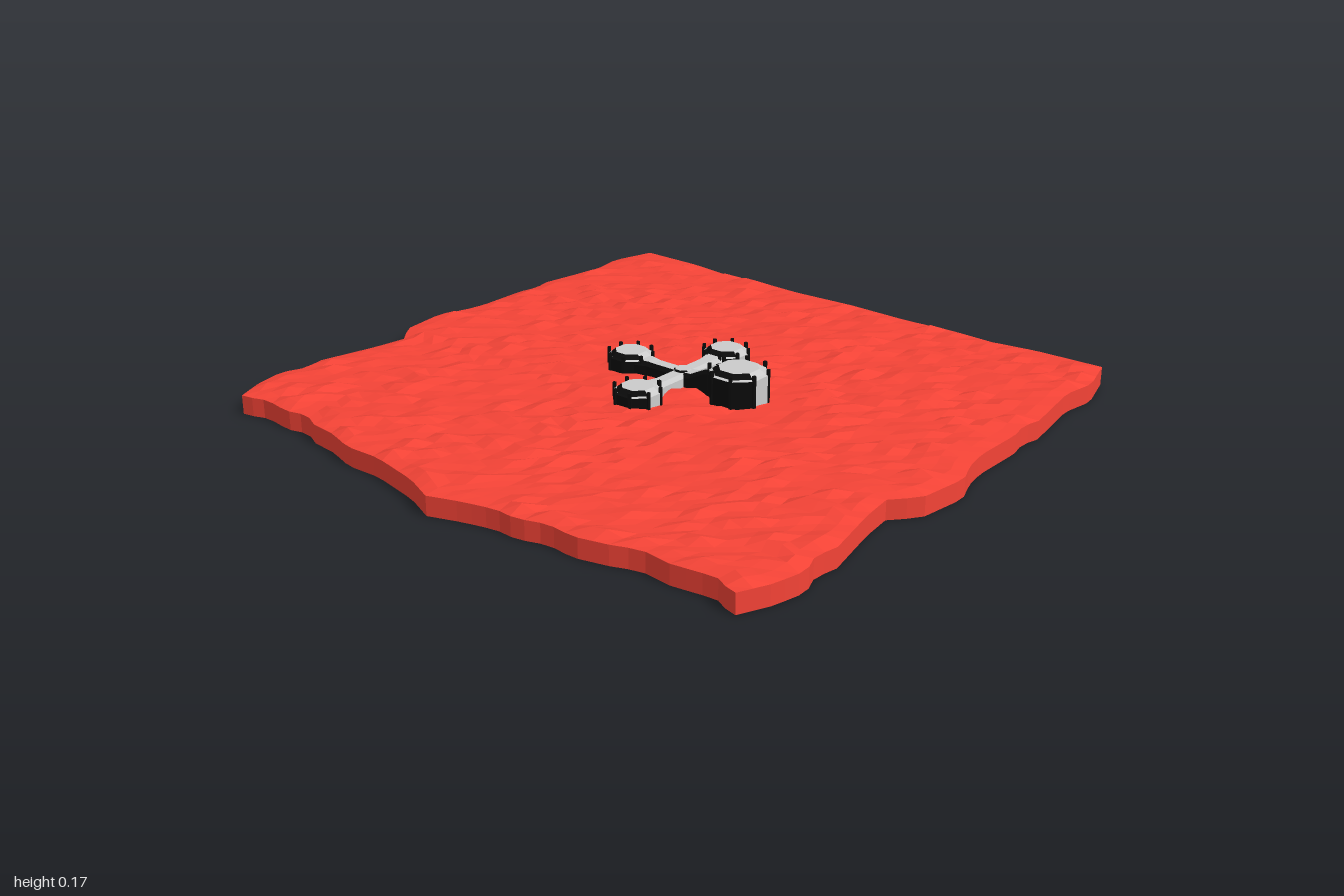
import * as THREE from 'three';

const grey = new THREE.MeshStandardMaterial({ color: 0xcccccc, flatShading: true });
const dark = new THREE.MeshStandardMaterial({ color: 0x0b0b0b, flatShading: true });
const red = new THREE.MeshStandardMaterial({ color: 0xf44336, flatShading: true });

// Ragged outline: [distance along the edge, position of the edge]
const sideEdge = [[-0.97, 0.91], [-0.82, 0.95], [-0.7, 0.93], [-0.6, 0.945], [-0.46, 0.965], [-0.41, 0.947],
  [-0.34, 0.962], [-0.16, 0.957], [-0.08, 0.97], [0, 1], [0.17, 0.975], [0.23, 0.912], [0.34, 0.925],
  [0.53, 0.965], [0.6, 0.95], [0.67, 0.977], [0.77, 0.955], [0.87, 0.91]];
const frontEdge = [[-1, 0.86], [-0.91, 0.86], [-0.83, 0.835], [-0.73, 0.85], [-0.65, 0.83], [-0.6, 0.86], [-0.5, 0.87],
  [-0.4, 0.9], [-0.28, 0.895], [-0.2, 0.91], [-0.1, 0.93], [0, 0.97], [0.1, 0.935], [0.2, 0.91], [0.27, 0.915],
  [0.36, 0.885], [0.45, 0.895], [0.55, 0.87], [0.62, 0.84], [0.72, 0.85], [0.84, 0.83], [0.91, 0.86], [1, 0.86]];
const backEdge = [[-1, -0.97], [-0.7, -0.965], [-0.55, -0.945], [-0.4, -0.955], [-0.23, -0.945], [0, -0.955],
  [0.23, -0.945], [0.4, -0.955], [0.55, -0.945], [0.7, -0.965], [1, -0.97]];

function sample(table, t) {
  if (t <= table[0][0]) return table[0][1];
  for (let i = 1; i < table.length; i++) {
    const [a, p] = table[i - 1], [b, q] = table[i];
    if (t <= b) return p + (q - p) * (t - a) / (b - a);
  }
  return table[table.length - 1][1];
}

function seeded(seed) {
  return () => {
    seed = (seed * 16807) % 2147483647;
    return seed / 2147483647;
  };
}

// Ground slab: gently broken top, flat bottom, upright rim
function createGround() {
  const n = 44, rand = seeded(77), pos = [], index = [];
  for (let layer = 0; layer < 2; layer++) {
    for (let j = 0; j <= n; j++) {
      for (let i = 0; i <= n; i++) {
        const u = i / n * 2 - 1, v = j / n;
        const x0 = u * 0.93;
        const back = sample(backEdge, x0), front = sample(frontEdge, x0);
        const z = back + (front - back) * v;
        const x = u * sample(sideEdge, z);
        const rim = i === 0 || j === 0 || i === n || j === n;
        const bump = rim ? 0 : 0.004 + 0.016 * rand() ** 2.5;
        pos.push(x, layer ? 0 : 0.058 + bump, z);
      }
    }
  }
  const w = n + 1, base = w * w;
  for (let j = 0; j < n; j++) {
    for (let i = 0; i < n; i++) {
      const a = j * w + i, b = a + 1, c = a + w, d = c + 1;
      index.push(a, c, b, b, c, d);
      index.push(base + a, base + b, base + c, base + b, base + d, base + c);
    }
  }
  const wall = (a, b) => index.push(a, a + base, b, b, a + base, b + base);
  for (let k = 0; k < n; k++) {
    wall(k + 1, k);
    wall(n * w + k, n * w + k + 1);
    wall(k * w, (k + 1) * w);
    wall((k + 1) * w + n, k * w + n);
  }
  const geo = new THREE.BufferGeometry();
  geo.setAttribute('position', new THREE.Float32BufferAttribute(pos, 3));
  geo.setIndex(index);
  const flat = geo.toNonIndexed();
  flat.computeVertexNormals();
  const mesh = new THREE.Mesh(flat, red);
  mesh.name = 'ground';
  return mesh;
}

// Light shell whose front-facing panels are dark
function panelled(geometry, name) {
  const geo = geometry.index ? geometry.toNonIndexed() : geometry;
  geo.computeVertexNormals();
  geo.clearGroups();
  const normal = geo.attributes.normal;
  for (let i = 0; i < normal.count; i += 3) geo.addGroup(i, 3, normal.getZ(i) > 0.3 ? 1 : 0);
  const mesh = new THREE.Mesh(geo, [grey, dark]);
  mesh.name = name;
  return mesh;
}

// Octagonal room with a bevelled roof and a post on every corner
function createRoom(name, x, z, apothem, top, posts = true) {
  const group = new THREE.Group();
  group.name = name;
  const r = apothem / Math.cos(Math.PI / 8), bottom = 0.055;
  const profile = [[0, bottom], [r, bottom], [r, top - 0.016], [r * 0.88, top - 0.013], [r * 0.68, top], [0, top]];
  const shell = new THREE.LatheGeometry(profile.map(p => new THREE.Vector2(...p)), 8, Math.PI / 8);
  group.add(panelled(shell, name + 'Shell'));
  if (posts) {
    const h = top - bottom + 0.001;
    for (let k = 0; k < 8; k++) {
      const a = Math.PI / 8 + k * Math.PI / 4;
      const post = new THREE.Mesh(new THREE.BoxGeometry(0.009, h, 0.009), dark);
      post.position.set(Math.sin(a) * r * 0.98, bottom + h / 2, Math.cos(a) * r * 0.98);
      post.rotation.y = a;
      post.name = 'cornerPost';
      group.add(post);
    }
  }
  group.position.set(x, 0, z);
  return group;
}

// Bevelled passage from the hub; stations are [distance, roof height, half width]
function createPassage(name, angle, stations) {
  const pos = [], index = [];
  for (const [d, top, hw] of stations) {
    const section = [[-hw, 0.055], [-hw, top - 0.012], [-hw * 0.65, top], [hw * 0.65, top], [hw, top - 0.012], [hw, 0.055]];
    for (const [s, y] of section) pos.push(s, y, d);
  }
  for (let k = 0; k < stations.length - 1; k++) {
    for (let i = 0; i < 6; i++) {
      const a = k * 6 + i, b = k * 6 + (i + 1) % 6;
      index.push(a, a + 6, b, b, a + 6, b + 6);
    }
  }
  const geo = new THREE.BufferGeometry();
  geo.setAttribute('position', new THREE.Float32BufferAttribute(pos, 3));
  geo.setIndex(index);
  geo.rotateY(angle);
  return panelled(geo, name);
}

export function createModel() {
  const model = new THREE.Group();
  model.name = 'outpostOnGround';
  model.add(createGround());

  const outpost = new THREE.Group();
  outpost.name = 'outpost';
  outpost.position.set(0.015, 0, -0.042);
  outpost.add(createRoom('hub', 0, 0, 0.034, 0.108, false));

  // Three low arms: front, right and back
  const low = [[0, 0.102, 0.027], [0.1, 0.102, 0.027], [0.12, 0.104, 0.03], [0.16, 0.104, 0.045]];
  for (const [side, angle] of [['front', 0], ['right', -Math.PI / 2], ['back', Math.PI]]) {
    outpost.add(createPassage(side + 'Passage', angle, low));
    outpost.add(createRoom(side + 'Room', Math.sin(angle) * 0.206, Math.cos(angle) * 0.206, 0.066, 0.117));
  }

  // Taller left arm with a climbing passage
  outpost.add(createPassage('leftPassage', Math.PI / 2,
    [[0, 0.102, 0.027], [0.045, 0.106, 0.032], [0.1, 0.134, 0.034], [0.13, 0.143, 0.04], [0.18, 0.146, 0.06]]));
  outpost.add(createRoom('leftRoom', 0.208, 0, 0.083, 0.164));

  model.add(outpost);
  return model;
}
